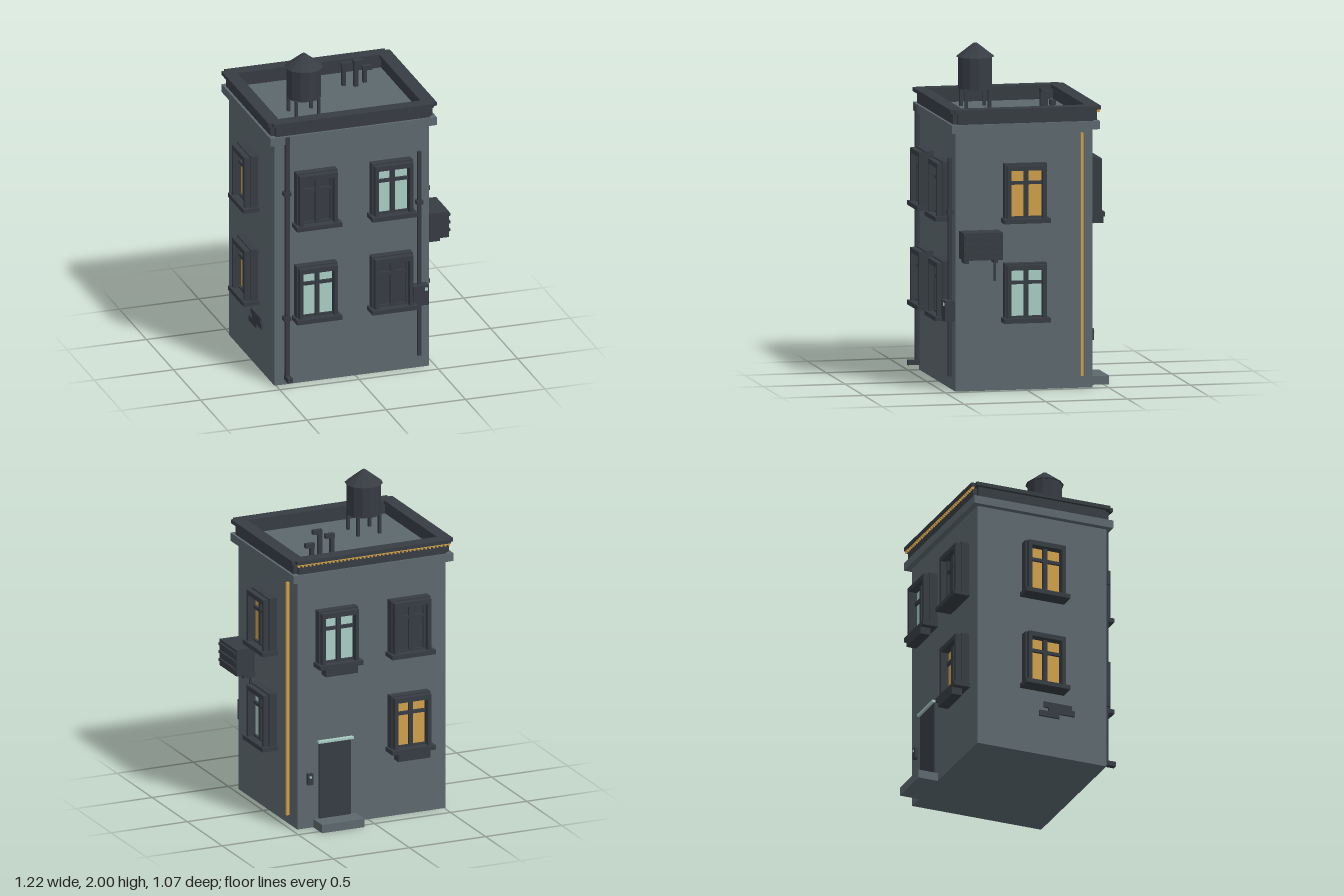
import * as THREE from 'three';

const mat = (name, color) => {
  const m = new THREE.MeshStandardMaterial({ color });
  m.name = name;
  return m;
};

export function createModel() {
  const wall = mat('slateWall', 0x5c686e);
  const dark = mat('charcoal', 0x373c43);
  const teal = mat('paleTealGlass', 0xa8cdc4);
  const amber = mat('amber', 0xd0a04a);

  const model = new THREE.Group();
  model.name = 'building';

  const add = (parent, name, geometry, material) => {
    const m = new THREE.Mesh(geometry, material);
    m.name = name;
    parent.add(m);
    return m;
  };
  // Box given by its min and max on each axis
  const box = (parent, name, material, x0, x1, y0, y1, z0, z1) => {
    const m = add(parent, name, new THREE.BoxGeometry(x1 - x0, y1 - y0, z1 - z0), material);
    m.position.set((x0 + x1) / 2, (y0 + y1) / 2, (z0 + z1) / 2);
    return m;
  };
  const group = (name, x = 0, y = 0, z = 0, turn = 0) => {
    const g = new THREE.Group();
    g.name = name;
    g.position.set(x, y, z);
    g.rotation.y = turn;
    model.add(g);
    return g;
  };

  // Walls, cornice band and roof deck
  const X0 = -0.51, X1 = 0.465, Z0 = -0.41, Z1 = 0.43;
  box(model, 'walls', wall, X0, X1, 0, 1.565, Z0, Z1);
  box(model, 'corniceBand', wall, -0.545, 0.505, 1.56, 1.61, -0.445, 0.46);

  // Parapet and its cap: four overlapping runs that leave notched corners
  const ring = (name, o, inner, y0, y1) => {
    const g = group(name);
    const [ox0, ox1, oz0, oz1] = [-0.55 + o, 0.51 - o, -0.455 + o, 0.465 - o];
    const [ix0, ix1, iz0, iz1] = [-0.47 - inner, 0.425 + inner, -0.37 - inner, 0.385 + inner];
    const n = 0.025;
    box(g, name + 'Front', dark, ox0 + n, ox1 - n, y0, y1, iz1, oz1);
    box(g, name + 'Back', dark, ox0 + n, ox1 - n, y0, y1, oz0, iz0);
    box(g, name + 'Right', dark, ox0, ix0, y0, y1, oz0 + n, oz1 - n);
    box(g, name + 'Left', dark, ix1, ox1, y0, y1, oz0 + n, oz1 - n);
  };
  ring('parapet', 0.02, 0.015, 1.605, 1.68);
  ring('parapetCap', 0, 0, 1.677, 1.7);

  // String of lights along the back of the parapet
  const lights = group('lightString');
  box(lights, 'lightCord', amber, -0.52, 0.48, 1.668, 1.677, -0.448, -0.434);
  for (let i = 0; i < 40; i++) {
    const x = -0.515 + i * 0.0253;
    box(lights, 'bulb', amber, x - 0.005, x + 0.005, 1.66, 1.67, -0.452, -0.438);
  }

  // Window facing +z with the wall plane at z = 0 and the sill bottom at y = 0
  const makeWindow = (x, y, z, turn, glass, planter) => {
    const g = group('window', x, y, z, turn);
    const surround = (name, w, top, depth) => {
      for (const s of [-1, 1]) {
        const a = s * 0.0975, b = s * w;
        box(g, name + 'Jamb', dark, Math.min(a, b), Math.max(a, b), 0.02, top, 0, depth);
      }
      box(g, name + 'Head', dark, -0.0975, 0.0975, 0.317, top, 0, depth);
    };
    surround('outerFrame', 0.1285, 0.355, 0.05);
    surround('innerFrame', 0.12, 0.347, 0.085);
    box(g, 'sill', dark, -0.1425, 0.1425, 0, 0.027, 0, 0.1);
    box(g, 'glass', glass, -0.0975, 0.0975, 0.027, 0.317, 0, 0.035);
    box(g, 'mullion', dark, -0.013, 0.013, 0.027, 0.317, 0.03, 0.055);
    box(g, 'transom', dark, -0.0975, 0.0975, 0.23, 0.25, 0.03, 0.05);
    box(g, 'sashBottom', dark, -0.0975, 0.0975, 0.027, 0.038, 0.03, 0.05);
    if (glass === dark) {
      for (const s of [-1, 1]) {
        box(g, 'sashStile', dark, s * 0.09 - 0.0075, s * 0.09 + 0.0075, 0.027, 0.317, 0.03, 0.05);
      }
    }
    if (planter) box(g, 'planter', dark, -0.105, 0.105, -0.045, 0.005, 0.035, 0.1);
  };
  const low = 0.413, high = 1.013, xa = -0.2575, xb = 0.2175, zc = 0.01;
  makeWindow(xa, high, Z1, 0, dark);
  makeWindow(xb, high, Z1, 0, teal);
  makeWindow(xa, low, Z1, 0, teal);
  makeWindow(xb, low, Z1, 0, dark);
  makeWindow(xb, high, Z0, Math.PI, teal, true);
  makeWindow(xa, high, Z0, Math.PI, dark);
  makeWindow(xa, low, Z0, Math.PI, amber, true);
  makeWindow(X1, high, zc, Math.PI / 2, amber);
  makeWindow(X1, low, zc, Math.PI / 2, teal);
  makeWindow(X0, high, zc, -Math.PI / 2, amber);
  makeWindow(X0, low, zc, -Math.PI / 2, amber);

  // Back door with step, lit lintel and intercom
  const door = group('entrance');
  box(door, 'doorStep', wall, 0.08, 0.36, 0, 0.052, -0.535, Z0);
  box(door, 'doorLeaf', dark, 0.115, 0.325, 0.052, 0.53, -0.419, Z0);
  box(door, 'doorLintel', teal, 0.105, 0.335, 0.528, 0.542, -0.435, Z0);
  box(door, 'intercom', dark, 0.37, 0.405, 0.275, 0.345, -0.433, Z0);
  box(door, 'intercomLight', teal, 0.38, 0.395, 0.318, 0.33, -0.437, -0.432);

  // Drainpipe on the front
  const drain = group('drainpipe');
  box(drain, 'drainShaft', dark, -0.452, -0.426, 0.05, 1.607, 0.445, 0.47);
  box(drain, 'drainFoot', dark, -0.455, -0.423, 0.04, 0.07, 0.445, 0.517);
  for (const y of [0.435, 1.24]) box(drain, 'drainClamp', dark, -0.463, -0.417, y - 0.012, y + 0.012, Z1, 0.475);

  // Electrical conduit and meter box on the front
  const meter = group('conduit');
  box(meter, 'conduitShaft', dark, 0.386, 0.408, 0.085, 1.4, 0.437, 0.46);
  box(meter, 'conduitClamp', dark, 0.377, 0.417, 1.06, 1.085, Z1, 0.465);
  box(meter, 'meterBox', dark, 0.35, 0.445, 0.42, 0.545, Z1, 0.49);
  box(meter, 'meterLight', teal, 0.418, 0.436, 0.515, 0.532, 0.488, 0.497);

  // Amber cable down the left wall
  const cable = group('amberCable');
  box(cable, 'cableRun', amber, 0.488, 0.505, 0.075, 1.54, -0.345, -0.33);

  // Air conditioner with slats, brackets and hose
  const ac = group('airConditioner');
  box(ac, 'acCase', dark, 0.475, 0.598, 0.805, 0.97, 0.17, 0.41);
  for (const y of [0.845, 0.895, 0.945]) box(ac, 'acSlat', dark, 0.597, 0.61, y - 0.008, y + 0.008, 0.18, 0.4);
  for (const z of [0.2, 0.38]) box(ac, 'acBracket', dark, X1, 0.545, 0.78, 0.807, z - 0.013, z + 0.013);
  box(ac, 'acHose', dark, 0.488, 0.5, 0.665, 0.807, 0.19, 0.202);

  // Low vent plates on the right wall
  const vent = group('wallVent');
  [[0.02, 0.2, 0.33], [0.05, 0.22, 0.3], [-0.01, 0.12, 0.27]].forEach(([z0, z1, y]) =>
    box(vent, 'ventPlate', dark, -0.522, X0, y - 0.018, y + 0.018, z0, z1));

  // Water tank on four legs
  const tank = group('waterTank', -0.23, 0, 0.15);
  const body = add(tank, 'tankBody', new THREE.CylinderGeometry(0.104, 0.104, 0.195, 12), dark);
  body.position.y = 1.8225;
  const roof = add(tank, 'tankRoof', new THREE.CylinderGeometry(0.01, 0.115, 0.082, 12), dark);
  roof.position.y = 1.959;
  for (const m of [body, roof]) {
    m.geometry = m.geometry.toNonIndexed();
    m.geometry.computeVertexNormals();
  }
  for (const x of [-0.071, 0.071]) {
    for (const z of [-0.071, 0.071]) {
      box(tank, 'tankLeg', dark, x - 0.009, x + 0.009, 1.605, 1.73, z - 0.009, z + 0.009);
    }
  }

  // Elbowed roof pipes: left edge, z, top
  const pipes = group('roofPipes');
  [[0.125, -0.195, 1.755], [0.19, -0.16, 1.778], [0.26, -0.204, 1.715]].forEach(([x, z, top]) => {
    box(pipes, 'pipeShaft', dark, x + 0.002, x + 0.026, 1.605, top - 0.005, z - 0.013, z + 0.013);
    box(pipes, 'pipeElbow', dark, x, x + 0.06, top - 0.027, top, z - 0.015, z + 0.015);
  });

  return model;
}
